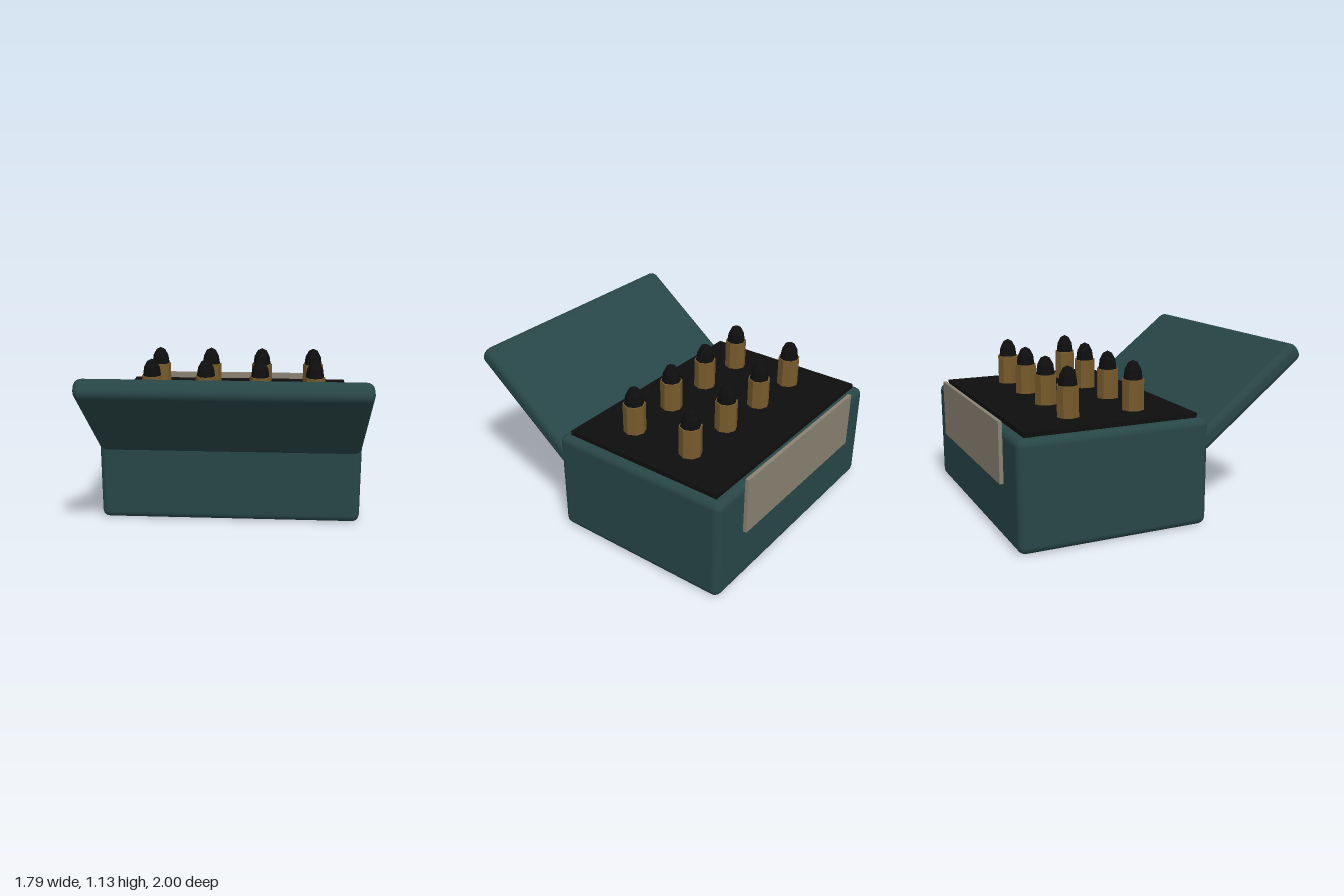
import * as THREE from 'three';
import { RoundedBoxGeometry } from 'three/addons/geometries/RoundedBoxGeometry.js';

function material(name, color, flatShading = false) {
  const m = new THREE.MeshStandardMaterial({ color, flatShading });
  m.name = name;
  return m;
}

export function createModel() {
  const model = new THREE.Group();
  model.name = 'ammunitionBox';

  const teal = material('dark teal', 0x284647);
  const black = material('black', 0x0e0e0e, true);
  const brass = material('brass', 0x765a2c, true);
  const label = material('grey beige', 0x8a8272);

  function add(name, geometry, mat, x, y, z, parent = model) {
    const mesh = new THREE.Mesh(geometry, mat);
    mesh.name = name;
    mesh.position.set(x, y, z);
    parent.add(mesh);
    return mesh;
  }

  // Box body with softened edges
  add('body', new RoundedBoxGeometry(1.79, 0.71, 1.28, 2, 0.05), teal, 0, 0.355, -0.33);

  // Lid, swung open and tilted towards the front
  const lid = add('lid', new RoundedBoxGeometry(1.788, 0.13, 0.94, 2, 0.05), teal, 0, 0.815, 0.61);
  lid.rotation.x = -0.663;

  // Dark insert holding the rounds
  add('tray', new THREE.BoxGeometry(1.68, 0.08, 1.155), black, 0, 0.7, -0.3325);

  // Blank plate on the back
  add('backPlate', new THREE.BoxGeometry(1.28, 0.39, 0.025), label, 0, 0.575, -0.9875);

  // Two rows of four rounds: faceted case with a domed tip
  const caseGeometry = new THREE.CylinderGeometry(0.075, 0.075, 0.21, 8);
  const tipGeometry = new THREE.SphereGeometry(0.065, 8, 6);
  tipGeometry.scale(1, 1.85, 1);
  for (const z of [-0.075, -0.525]) {
    for (let i = 0; i < 4; i++) {
      const round = new THREE.Group();
      round.name = 'round';
      round.position.set((i - 1.5) * 0.385, 0, z);
      add('case', caseGeometry, brass, 0, 0.835, 0, round);
      add('tip', tipGeometry, black, 0, 0.94, 0, round);
      model.add(round);
    }
  }

  return model;
}
